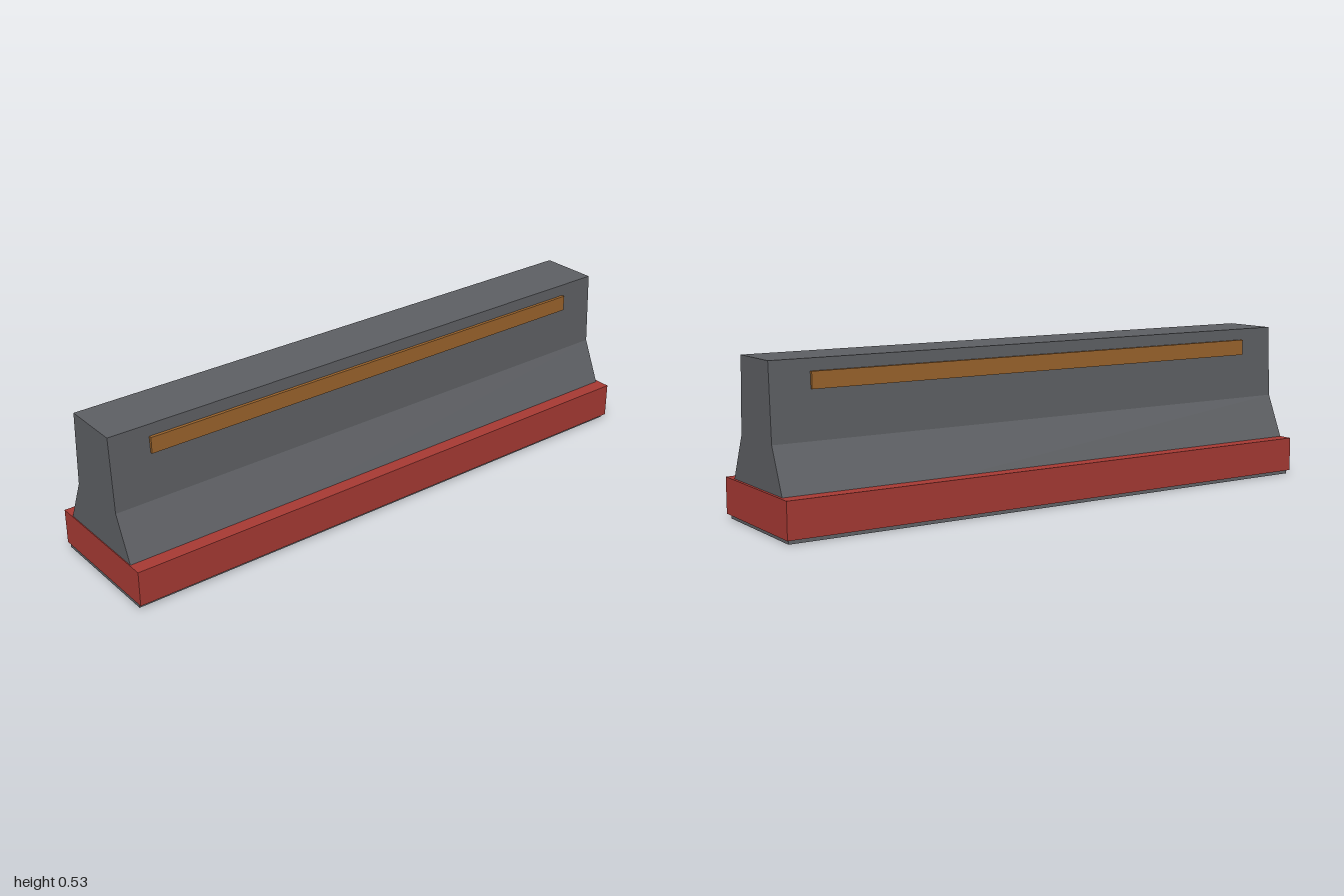
import * as THREE from 'three';

const material = (color) => new THREE.MeshStandardMaterial({ color, flatShading: true });

function addBox(parent, name, size, position, mat) {
  const mesh = new THREE.Mesh(new THREE.BoxGeometry(...size), mat);
  mesh.name = name;
  mesh.position.set(...position);
  parent.add(mesh);
}

export function createModel() {
  const group = new THREE.Group();
  group.name = 'roadBarrier';

  // Concrete body: a stepped, tapering profile run along x
  const half = [[0.213, 0], [0.205, 0.07], [0.112, 0.28], [0.1, 0.53]];
  const mirrored = half.map(([z, y]) => [-z, y]).reverse();
  const profile = new THREE.Shape([...half, ...mirrored].map(([z, y]) => new THREE.Vector2(z, y)));
  const bodyGeometry = new THREE.ExtrudeGeometry(profile, { depth: 1.988, bevelEnabled: false });
  bodyGeometry.rotateY(Math.PI / 2).translate(-0.997, 0, 0);
  const body = new THREE.Mesh(bodyGeometry, material(0x5e6064));
  body.name = 'concreteBody';
  group.add(body);

  // Painted band around the foot
  addBox(group, 'baseBand', [2, 0.119, 0.452], [0, 0.0735, 0], material(0xa83a34));

  // Reflector strip on each long face
  const stripMaterial = material(0x9c652d);
  for (const [name, side] of [['frontStrip', 1], ['backStrip', -1]]) {
    addBox(group, name, [1.717, 0.054, 0.018], [-0.002, 0.464, side * 0.1035], stripMaterial);
  }

  return group;
}
